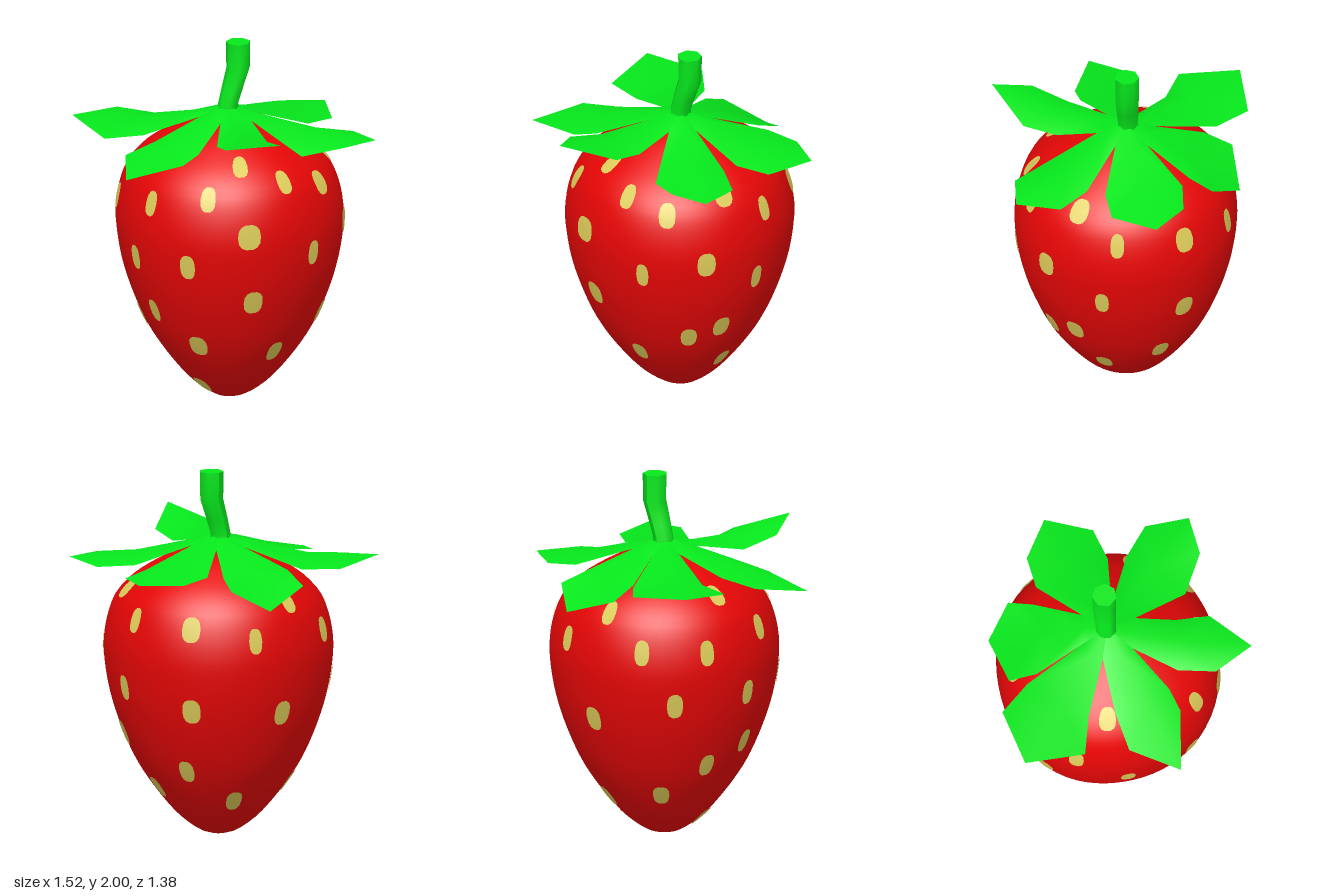
import * as THREE from 'three';

const CX = 0.035, CZ = -0.055; // fruit axis

const V = (x, y, z) => new THREE.Vector3(x, y, z);

// Fruit outline from the bottom tip to the crown: [radius, height]
const profile = new THREE.CatmullRomCurve3([
  [0, 0], [0.08, 0.015], [0.19, 0.09], [0.29, 0.2], [0.425, 0.4], [0.513, 0.6], [0.572, 0.8],
  [0.6, 1.0], [0.598, 1.1], [0.578, 1.21], [0.54, 1.31], [0.465, 1.4], [0.35, 1.482],
  [0.2, 1.56], [0.09, 1.594], [0, 1.605],
].map(([r, y]) => V(r, y, 0)), false, 'centripetal');
profile.arcLengthDivisions = 600;

// The fruit is slightly square in plan
const plump = a => 1 + 0.033 * Math.sin(2 * a) ** 2;

function buildFruit(material) {
  const points = profile.getSpacedPoints(48).map(p => new THREE.Vector2(Math.max(0, p.x), p.y));
  const geometry = new THREE.LatheGeometry(points, 64);
  const p = geometry.attributes.position;
  for (let i = 0; i < p.count; i++) {
    const k = plump(Math.atan2(p.getX(i), p.getZ(i)));
    p.setXYZ(i, p.getX(i) * k, p.getY(i), p.getZ(i) * k);
  }
  const mesh = new THREE.Mesh(geometry, material);
  mesh.position.set(CX, 0, CZ);
  mesh.name = 'fruit';
  return mesh;
}

// Arc-length parameter of the outline at a given height
function paramAtHeight(y) {
  let lo = 0, hi = 1;
  for (let i = 0; i < 24; i++) {
    const mid = (lo + hi) / 2;
    if (profile.getPointAt(mid).y < y) lo = mid; else hi = mid;
  }
  return lo;
}

// Thin rounded patch that follows the fruit surface
function buildSeed(angleDeg, y, width, height, material) {
  const length = profile.getLength(), u0 = paramAtHeight(y);
  const a0 = THREE.MathUtils.degToRad(angleDeg);
  const r0 = profile.getPointAt(u0).x;
  const positions = [], index = [], sides = 14;
  const addPoint = (s, t) => {
    const u = THREE.MathUtils.clamp(u0 + t / length, 0.002, 0.998);
    const p = profile.getPointAt(u), d = profile.getTangentAt(u);
    const a = a0 + s / r0, r = p.x * plump(a) + d.y * 0.005;
    positions.push(r * Math.sin(a), p.y - d.x * 0.005, r * Math.cos(a));
  };
  const soft = v => Math.sign(v) * Math.abs(v) ** 0.8;
  addPoint(0, 0);
  for (let i = 0; i < sides; i++) {
    const q = i / sides * Math.PI * 2;
    addPoint(soft(Math.cos(q)) * width / 2, soft(Math.sin(q)) * height / 2);
    index.push(0, 1 + i, 1 + (i + 1) % sides);
  }
  const geometry = new THREE.BufferGeometry();
  geometry.setAttribute('position', new THREE.Float32BufferAttribute(positions, 3));
  geometry.setIndex(index);
  geometry.computeVertexNormals();
  const mesh = new THREE.Mesh(geometry, material);
  mesh.name = 'seed';
  return mesh;
}

// Seeds per band: [angle from the front in degrees, height, width]
const upperSeeds = [
  [-22.6, 1.44, 0.08], [4.5, 1.355, 0.08], [-42, 1.3, 0.08], [30.5, 1.305, 0.09],
  [65, 1.375, 0.1], [-77, 1.225, 0.08], [90, 1.24, 0.075], [127, 1.23, 0.1],
  [161, 1.165, 0.075], [-150, 1.165, 0.08], [-116, 1.155, 0.08], [-173, 1.345, 0.08],
  [-100, 1.42, 0.09],
];
const middleSeeds = [
  [-20, 1.1, 0.125], [18, 0.95, 0.07], [51, 1.03, 0.1], [-52, 0.92, 0.085], [-17, 0.71, 0.105],
  [82, 0.86, 0.075], [127, 0.78, 0.1], [179, 0.75, 0.1], [-133, 0.87, 0.085], [-89, 0.89, 0.08],
];
const lowerSeeds = [
  [-52, 0.42, 0.1], [6, 0.36, 0.085], [43, 0.53, 0.085], [63, 0.58, 0.095], [-82, 0.59, 0.08],
  [-72, 0.11, 0.09], [119, 0.42, 0.085], [76, 0.285, 0.085], [156, 0.24, 0.085],
  [-110, 0.49, 0.085], [-141, 0.31, 0.085],
];

// Notches between neighbouring leaves, counterclockwise from the back
const notches = [
  [-0.02, 1.59, -0.21], [-0.12, 1.595, -0.11], [-0.09, 1.6, 0.06],
  [0.08, 1.6, 0.1], [0.18, 1.595, -0.01], [0.15, 1.59, -0.18],
];
// Leaf rims: inner edge, shoulder, tip, shoulder, inner edge
const leaves = [
  [[-0.16, 1.5, -0.53], [-0.3, 1.51, -0.69], [-0.62, 1.54, -0.62], [-0.61, 1.5, -0.29], [-0.4, 1.5, -0.235]],
  [[-0.41, 1.51, -0.09], [-0.62, 1.48, -0.05], [-0.765, 1.44, 0.21], [-0.44, 1.48, 0.26], [-0.32, 1.51, 0.22]],
  [[-0.24, 1.56, 0.28], [-0.3, 1.61, 0.48], [-0.21, 1.675, 0.69], [0.03, 1.585, 0.5], [0.05, 1.55, 0.32]],
  [[0.22, 1.46, 0.4], [0.42, 1.51, 0.515], [0.63, 1.51, 0.49], [0.63, 1.49, 0.25], [0.47, 1.5, 0.12]],
  [[0.48, 1.49, 0.02], [0.66, 1.475, -0.03], [0.76, 1.485, -0.28], [0.56, 1.48, -0.41], [0.38, 1.5, -0.39]],
  [[0.29, 1.485, -0.42], [0.34, 1.44, -0.55], [0.18, 1.335, -0.685], [-0.1, 1.43, -0.62], [-0.11, 1.495, -0.47]],
];
// Midrib heights halfway along each leaf
const ribHeights = [1.55, 1.53, 1.615, 1.555, 1.54, 1.515];

// Leaf with a creased midrib: hub, inner rib, outer rib, then a fan to the tip
function buildLeaf(i, material) {
  const hub = [0.03, 1.655, -0.06];
  const [edgeA, shoulderA, tip, shoulderB, edgeB] = leaves[i];
  const along = (t, y) => [hub[0] + (tip[0] - hub[0]) * t, y, hub[2] + (tip[2] - hub[2]) * t];
  const points = [
    hub, notches[i], along(0.2, 1.615), notches[(i + 1) % notches.length],
    edgeA, along(0.55, ribHeights[i]), edgeB, shoulderA, tip, shoulderB,
  ];
  const geometry = new THREE.BufferGeometry();
  geometry.setAttribute('position', new THREE.Float32BufferAttribute(points.flat(), 3));
  geometry.setIndex([
    0, 1, 2, 0, 2, 3, 1, 4, 2, 4, 5, 2, 2, 5, 6, 2, 6, 3,
    5, 4, 7, 5, 7, 8, 5, 8, 9, 5, 9, 6,
  ]);
  geometry.computeVertexNormals();
  const mesh = new THREE.Mesh(geometry, material);
  mesh.name = 'leaf';
  return mesh;
}

// Bent seven-sided stalk, rings given as [x, y, radius]
function buildStem(material) {
  const rings = [
    [0.03, 1.61, 0.06], [0.032, 1.655, 0.056], [0.058, 1.74, 0.06],
    [0.094, 1.85, 0.065], [0.093, 2.0, 0.067],
  ];
  const geometry = new THREE.CylinderGeometry(1, 1, rings.length - 1, 7, rings.length - 1);
  geometry.rotateY(Math.PI);
  const p = geometry.attributes.position;
  for (let i = 0; i < p.count; i++) {
    const [x, y, r] = rings[Math.round(p.getY(i) + (rings.length - 1) / 2)];
    p.setXYZ(i, x + p.getX(i) * r, y, -0.065 + p.getZ(i) * r);
  }
  geometry.computeVertexNormals();
  const mesh = new THREE.Mesh(geometry, material);
  mesh.name = 'stem';
  return mesh;
}

export function createModel() {
  const red = new THREE.MeshStandardMaterial({ color: 0xe60606 });
  red.name = 'fruit red';
  const green = new THREE.MeshStandardMaterial({ color: 0x06e81c, side: THREE.DoubleSide });
  green.name = 'leaf green';
  const yellow = new THREE.MeshStandardMaterial({ color: 0xdccb5a });
  yellow.name = 'seed yellow';

  const model = new THREE.Group();
  model.name = 'strawberry';
  model.add(buildFruit(red));

  const seeds = new THREE.Group();
  seeds.name = 'seeds';
  seeds.position.set(CX, 0, CZ);
  for (const [angle, y, width] of [...upperSeeds, ...middleSeeds, ...lowerSeeds]) {
    seeds.add(buildSeed(angle, y, width, 0.14, yellow));
  }
  model.add(seeds);

  const crown = new THREE.Group();
  crown.name = 'leafCrown';
  leaves.forEach((_, i) => crown.add(buildLeaf(i, green)));
  model.add(crown, buildStem(green));
  return model;
}
